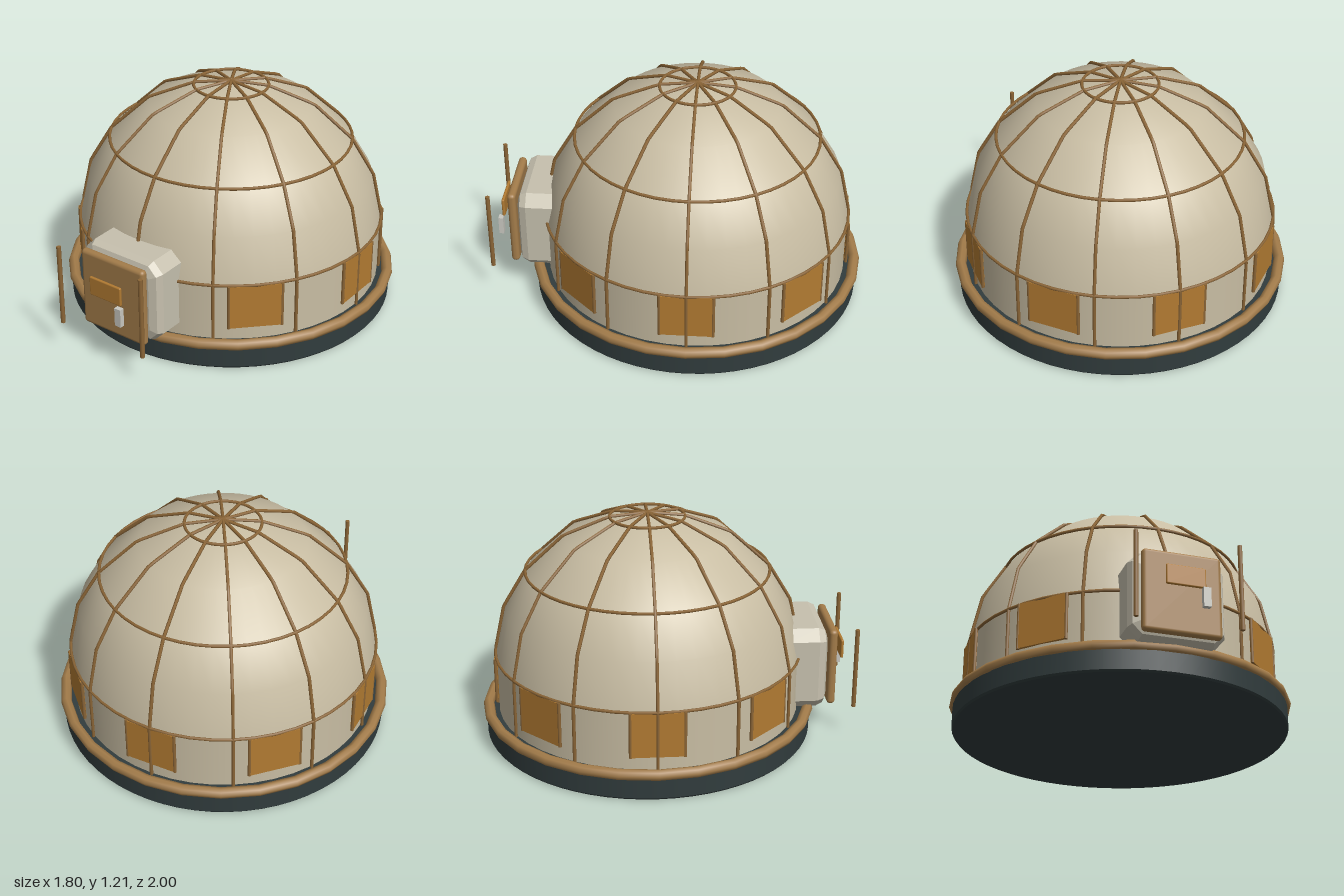
import * as THREE from 'three';
import { RoundedBoxGeometry } from 'three/addons/geometries/RoundedBoxGeometry.js';

const material = (name, color, extra = {}) => {
  const m = new THREE.MeshStandardMaterial({ color, ...extra });
  m.name = name;
  return m;
};

export function createModel() {
  const canvas = material('canvas', 0xc8bda3, { side: THREE.DoubleSide });
  const hoodCloth = material('hood cloth', 0xc6c0ae);
  const wood = material('wood', 0xa37c4a);
  const darkWood = material('dark wood', 0x8c6637);
  const amber = material('amber panel', 0xb27b32);
  const slate = material('slate', 0x313c3d);
  const metal = material('pale metal', 0xc9c8c0);

  const model = new THREE.Group();
  const add = (parent, name, geometry, mat, x = 0, y = 0, z = 0) => {
    const mesh = new THREE.Mesh(geometry, mat);
    mesh.name = name;
    mesh.position.set(x, y, z);
    parent.add(mesh);
    return mesh;
  };

  // Everything round is centred slightly behind the origin
  const hut = new THREE.Group();
  hut.name = 'hut';
  hut.position.z = -0.1;
  model.add(hut);

  // Foundation and the rim around it
  add(hut, 'foundation', new THREE.CylinderGeometry(0.88, 0.88, 0.125, 64), slate, 0, 0.0725, 0);
  add(hut, 'foundationFoot', new THREE.CylinderGeometry(0.88, 0.872, 0.01, 64), slate, 0, 0.005, 0);
  add(hut, 'foundationRim', new THREE.TorusGeometry(0.87, 0.029, 8, 28), wood, 0, 0.135, 0)
    .rotation.x = Math.PI / 2;

  // Wall and dome in one skin; ribs follow the same profile
  const profile = [[0.82, 0.12], [0.82, 0.45], [0.765, 0.7], [0.645, 0.9],
    [0.44, 1.088], [0.197, 1.184], [0, 1.203]];
  const skin = profile.map(([r, y]) => new THREE.Vector2(Math.max(0, r - 0.007), y - (y > 0.5 ? 0.005 : 0)));
  add(hut, 'wall', new THREE.LatheGeometry(skin.slice(0, 2), 48), canvas);
  add(hut, 'dome', new THREE.LatheGeometry(skin.slice(1), 48), canvas);

  // Twelve ribs from the rim to the crown
  const ribPath = new THREE.CurvePath();
  for (let i = 1; i < profile.length; i++) {
    const [a, b] = [profile[i - 1], profile[i]];
    ribPath.add(new THREE.LineCurve3(new THREE.Vector3(0, a[1], a[0]), new THREE.Vector3(0, b[1], b[0])));
  }
  const ribGeometry = new THREE.TubeGeometry(ribPath, 40, 0.009, 6);
  for (let i = 0; i < 12; i++) {
    add(hut, 'rib', ribGeometry, darkWood).rotation.y = i * Math.PI / 6;
  }

  // Horizontal hoops
  for (const [r, y] of [profile[1], profile[3], profile[5]]) {
    add(hut, 'hoop', new THREE.TorusGeometry(r, 0.008, 6, 48), darkWood, 0, y, 0).rotation.x = Math.PI / 2;
  }

  // Seven window panels, leaving the front free for the door
  for (let i = 1; i < 8; i++) {
    const panel = new THREE.Group();
    panel.name = 'window';
    panel.rotation.y = i * Math.PI / 4;
    hut.add(panel);
    add(panel, 'windowPanel', new THREE.BoxGeometry(0.275, 0.24, 0.016), amber, 0, 0.328, 0.815);
    for (const s of [-1, 1]) {
      add(panel, 'windowPost', new THREE.CylinderGeometry(0.009, 0.009, 0.245, 8), darkWood, s * 0.135, 0.328, 0.816);
    }
  }

  // Entrance hood with chamfered corners and bevelled front
  const bevel = 0.055, w = 0.19, h = 0.173, c = 0.025;
  const outline = new THREE.Shape([[-w + c, -h], [w - c, -h], [w, -h + c], [w, h - c],
    [w - c, h], [-w + c, h], [-w, h - c], [-w, -h + c]].map(p => new THREE.Vector2(...p)));
  const hood = new THREE.ExtrudeGeometry(outline, {
    depth: 0.17, bevelEnabled: true, bevelSize: bevel, bevelThickness: 0.05, bevelSegments: 2,
  });
  add(model, 'entranceHood', hood, hoodCloth, 0, 0.373, 0.625);

  // Door, its sign plate, handle and side posts
  add(model, 'door', new RoundedBoxGeometry(0.4, 0.43, 0.044, 3, 0.02), wood, 0, 0.37, 0.877);
  add(model, 'doorPlate', new RoundedBoxGeometry(0.2, 0.104, 0.016, 2, 0.007), amber, 0, 0.434, 0.945);
  add(model, 'doorHandle', new THREE.BoxGeometry(0.038, 0.1, 0.026), metal, 0.096, 0.328, 0.961);
  for (const s of [-1, 1]) {
    add(model, 'doorPost', new THREE.CylinderGeometry(0.012, 0.012, 0.445, 8), darkWood, s * 0.262, 0.394, 0.987);
  }

  return model;
}
